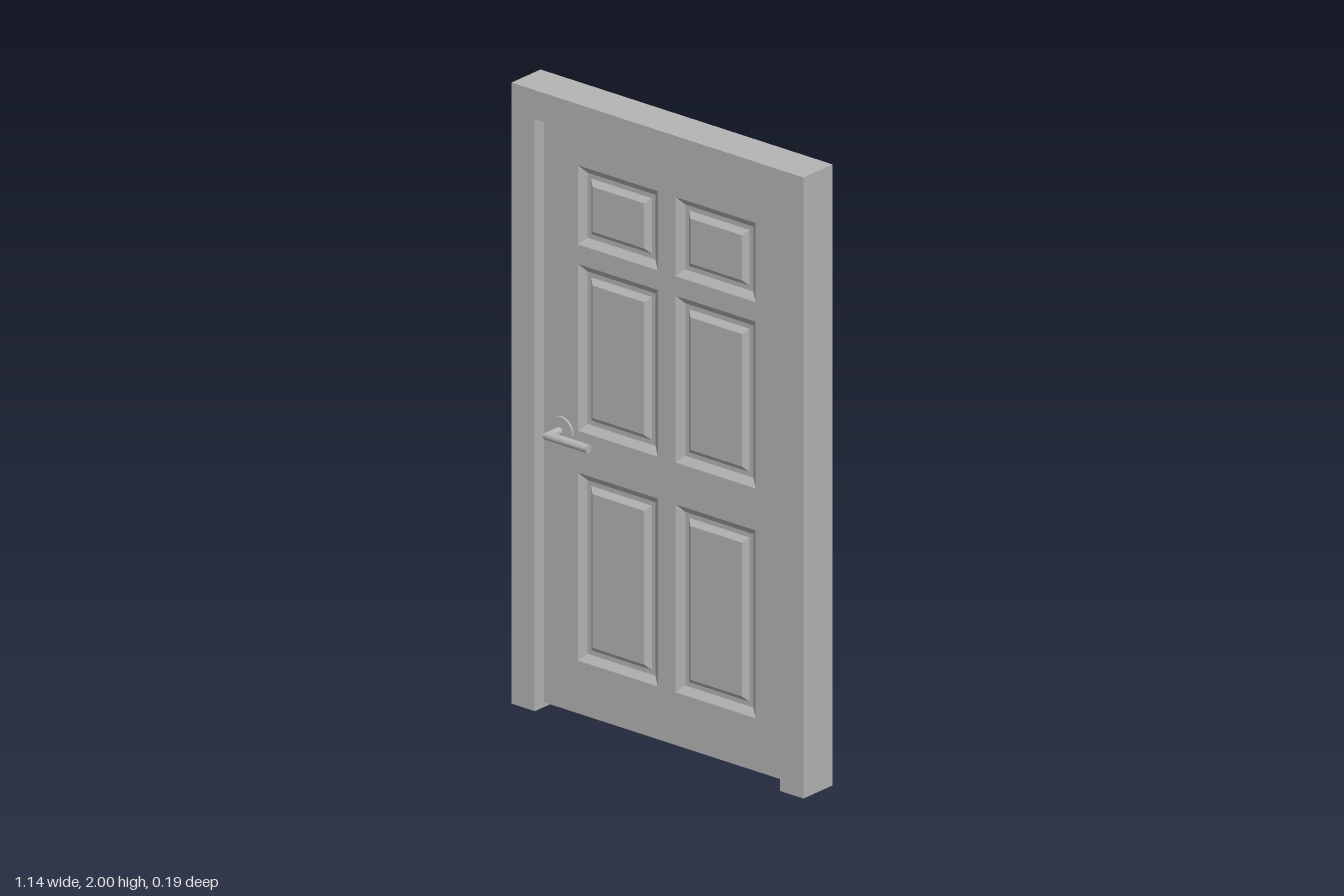
import * as THREE from 'three';

const grey = new THREE.MeshStandardMaterial({ color: 0xb4b4b4 });
grey.name = 'door grey';

const FACE = 0.024; // half thickness of the door leaf
const PANELS = [[1.525, 1.78], [0.925, 1.462], [0.185, 0.79]]; // bottom and top of each row
const PANEL_X = [[-0.347, -0.035], [0.035, 0.347]];

function mesh(name, geometry, parent) {
  const m = new THREE.Mesh(geometry, grey);
  m.name = name;
  parent.add(m);
  return m;
}

function slab(shape, depth) {
  const g = new THREE.ExtrudeGeometry(shape, { depth, bevelEnabled: false, curveSegments: 1 });
  return g.translate(0, 0, -depth / 2);
}

function polygon(points, Type = THREE.Shape) {
  return new Type(points.map(([x, y]) => new THREE.Vector2(x, y)));
}

const rectangle = (x0, y0, x1, y1) => [[x0, y0], [x1, y0], [x1, y1], [x0, y1]];

// Moulded panel: rectangular rings stepping inwards, closed by a flat field
function panelGeometry(x0, y0, x1, y1) {
  const profile = [[0, FACE], [0.023, FACE - 0.017], [0.038, FACE - 0.017], [0.055, FACE - 0.002]];
  const rings = profile.map(([d, z]) =>
    rectangle(x0 + d, y0 + d, x1 - d, y1 - d).map(([x, y]) => [x, y, z]));
  const out = [];
  const quad = (a, b, c, d) => out.push(...a, ...b, ...c, ...a, ...c, ...d);
  for (let r = 0; r < rings.length - 1; r++) {
    for (let i = 0; i < 4; i++) {
      const j = (i + 1) % 4;
      quad(rings[r][i], rings[r][j], rings[r + 1][j], rings[r + 1][i]);
    }
  }
  quad(...rings[rings.length - 1]);
  const g = new THREE.BufferGeometry();
  g.setAttribute('position', new THREE.Float32BufferAttribute(out, 3));
  g.computeVertexNormals();
  return g;
}

// Lever handle pointing to +x, with a mitred elbow
function createHandle() {
  const handle = new THREE.Group();
  const r = 0.0135, reach = 0.08, stemX = -0.0035, tip = 0.153;

  const rose = new THREE.CylinderGeometry(0.047, 0.047, 0.008, 32).rotateX(Math.PI / 2);
  mesh('handleRose', rose.translate(0, 0, FACE + 0.004), handle);

  const stemLength = reach - FACE;
  const stem = new THREE.CylinderGeometry(r, r, stemLength, 24).rotateX(Math.PI / 2);
  let p = stem.attributes.position;
  for (let i = 0; i < p.count; i++) if (p.getZ(i) > 0) p.setZ(i, p.getZ(i) - p.getX(i));
  mesh('handleStem', stem.translate(stemX, 0, FACE + stemLength / 2), handle);

  const length = tip - stemX;
  const lever = new THREE.CylinderGeometry(r, r, length, 24).rotateZ(-Math.PI / 2);
  p = lever.attributes.position;
  for (let i = 0; i < p.count; i++) if (p.getX(i) < 0) p.setX(i, p.getX(i) - p.getZ(i));
  mesh('handleLever', lever.translate(stemX + length / 2, 0, reach), handle);
  return handle;
}

export function createModel() {
  const model = new THREE.Group();
  model.name = 'panelDoor';

  // Frame: two jambs and a head
  const frame = polygon([[-0.57, 0], [-0.479, 0], [-0.479, 1.908], [0.479, 1.908],
    [0.479, 0], [0.57, 0], [0.57, 2], [-0.57, 2]]);
  mesh('frame', slab(frame, 0.134), model);

  // Door leaf with openings for the panels
  const leaf = polygon(rectangle(-0.479, 0.015, 0.479, 1.908));
  for (const [y0, y1] of PANELS) {
    for (const [x0, x1] of PANEL_X) {
      leaf.holes.push(polygon(rectangle(x0, y0, x1, y1), THREE.Path));
    }
  }
  mesh('doorLeaf', slab(leaf, FACE * 2), model);

  // Panels and handles on both faces
  for (const side of ['front', 'back']) {
    const panels = new THREE.Group();
    panels.name = side + 'Panels';
    for (const [y0, y1] of PANELS) {
      for (const [x0, x1] of PANEL_X) mesh('panel', panelGeometry(x0, y0, x1, y1), panels);
    }
    const handle = createHandle();
    handle.name = side + 'Handle';
    handle.position.set(-0.41, 0.908, 0);
    if (side === 'back') {
      panels.rotation.y = Math.PI;
      handle.rotation.x = Math.PI;
    }
    model.add(panels, handle);
  }
  return model;
}
